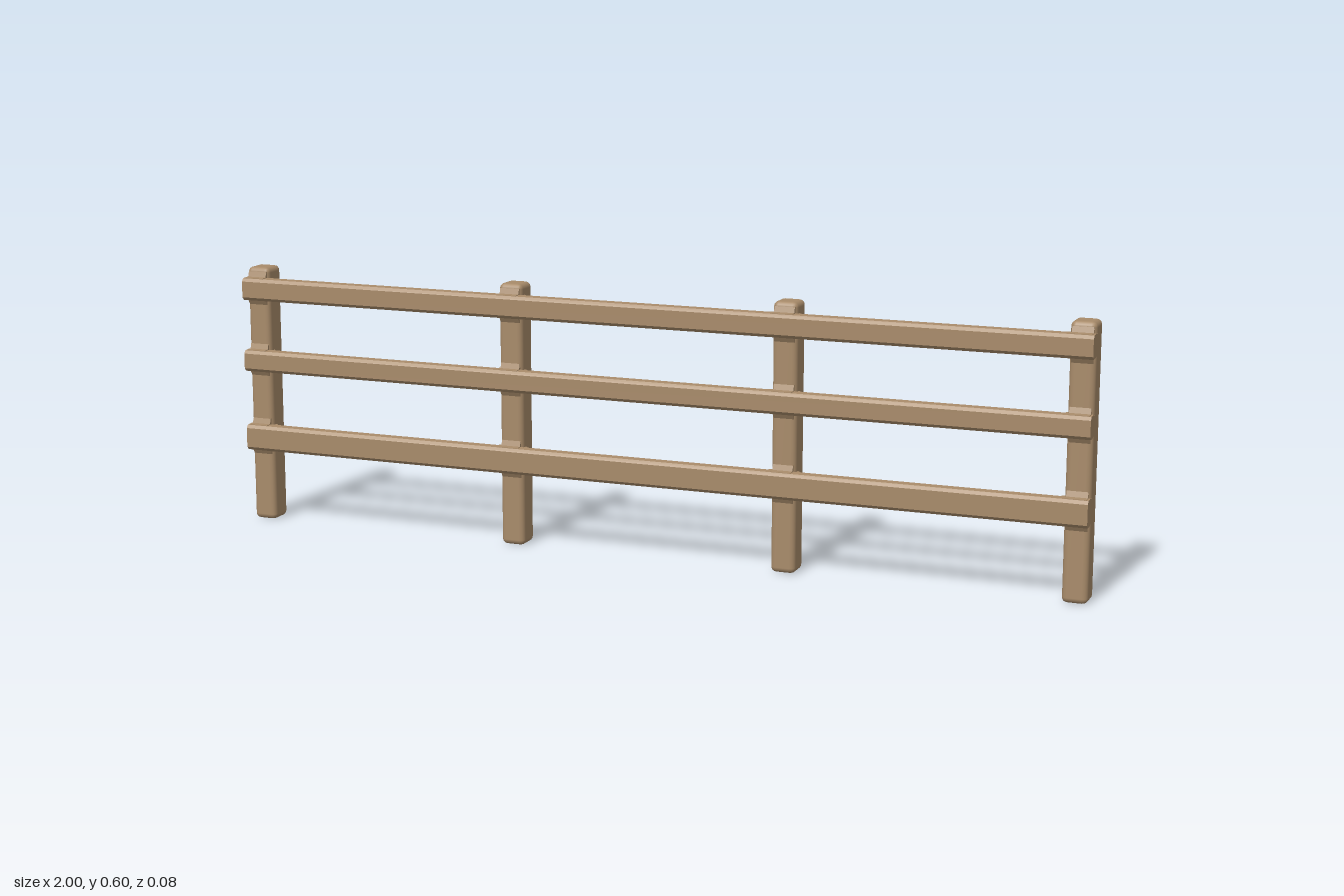
import * as THREE from 'three';
import { RoundedBoxGeometry } from 'three/addons/geometries/RoundedBoxGeometry.js';

const POST_W = 0.056;
const POST_FRONT = 0.018;
const POST_BACK = -0.042;
const HEIGHT = 0.602;
const postXs = [-0.972, -0.326, 0.324, 0.972];
// bottom and top height of each rail
const rails = [[0.172, 0.231], [0.36, 0.409], [0.528, 0.579]];

export function createModel() {
  const group = new THREE.Group();
  const wood = new THREE.MeshStandardMaterial({ color: 0xa88b6a });
  wood.name = 'wood';

  const add = (geometry, name) => {
    const mesh = new THREE.Mesh(geometry, wood);
    mesh.name = name;
    group.add(mesh);
    return mesh;
  };
  const extrude = (points, depth) => new THREE.ExtrudeGeometry(
    new THREE.Shape(points.map(([x, y]) => new THREE.Vector2(x, y))),
    { depth, bevelEnabled: false });
  // prism along x from [z, y] points, and prism along y from [x, z] points
  const prismX = (points, x0, x1) =>
    extrude(points.map(([z, y]) => [-z, y]), x1 - x0).rotateY(Math.PI / 2).translate(x0, 0, 0);
  const prismY = (points, y0, y1) =>
    extrude(points.map(([x, z]) => [x, -z]), y1 - y0).rotateX(-Math.PI / 2).translate(0, y0, 0);

  // square posts with softened edges
  for (const x of postXs) {
    const post = new RoundedBoxGeometry(POST_W, HEIGHT, POST_FRONT - POST_BACK, 2, 0.012);
    add(post, 'post').position.set(x, HEIGHT / 2, (POST_FRONT + POST_BACK) / 2);
  }

  for (const [b, t] of rails) {
    // long rail with chamfered edges
    add(prismX([
      [0.012, b + 0.006], [0.018, b], [0.036, b - 0.001], [0.0425, b + 0.006],
      [0.0425, t - 0.008], [0.037, t - 0.001], [0.018, t], [0.012, t - 0.006],
    ], -1, 1), 'rail');

    for (const x of postXs) {
      // sloped joint above and below the rail on the post's front
      const w = POST_W / 2 - 0.005;
      add(prismX([
        [0.012, b - 0.013], [0.018, b - 0.013], [0.024, b - 0.003], [0.036, b],
        [0.036, t], [0.022, t + 0.001], [0.018, t + 0.013], [0.012, t + 0.013],
      ], x - w, x + w), 'railJoint');

      // small flare from the post's sides to the back of the rail
      const l = Math.max(x - POST_W / 2 - 0.014, -1);
      const r = Math.min(x + POST_W / 2 + 0.014, 1);
      add(prismY([
        [x - POST_W / 2, 0], [x + POST_W / 2, 0], [r, 0.013], [r, 0.02], [l, 0.02], [l, 0.013],
      ], b + 0.002, t - 0.002), 'sideFlare');
    }
  }
  return group;
}
